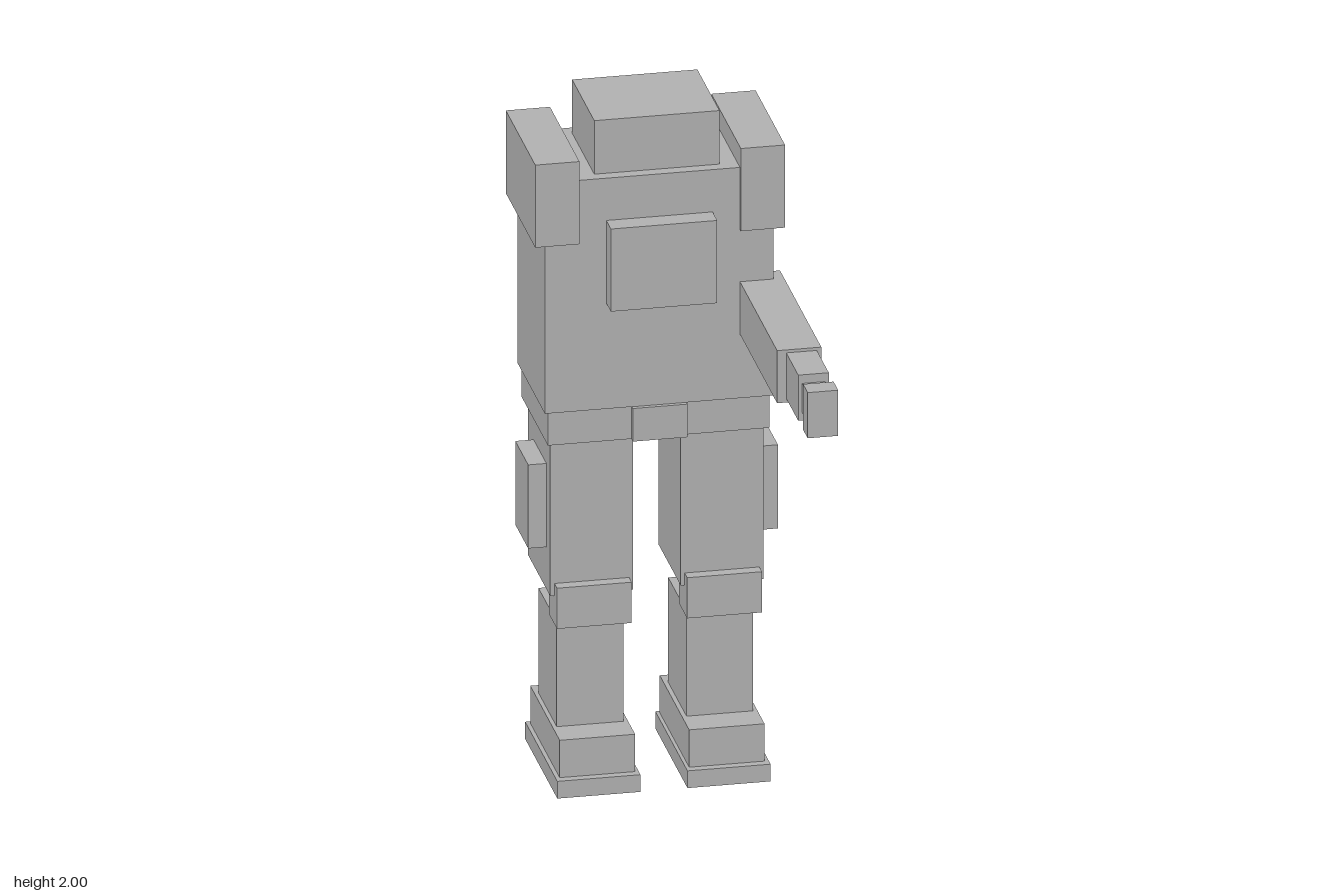
import * as THREE from 'three';

export function createModel() {
  const model = new THREE.Group();
  model.name = 'blockTrooper';
  const grey = new THREE.MeshStandardMaterial({ color: 0xb0b0b0 });
  grey.name = 'plainGrey';

  // Box given by its extents on each axis
  function block(name, [x0, x1], [y0, y1], [z0, z1], parent = model) {
    const mesh = new THREE.Mesh(new THREE.BoxGeometry(x1 - x0, y1 - y0, z1 - z0), grey);
    mesh.position.set((x0 + x1) / 2, (y0 + y1) / 2, (z0 + z1) / 2);
    mesh.name = name;
    parent.add(mesh);
  }

  // Body
  block('head', [-0.18, 0.177], [1.835, 2], [-0.543, -0.24]);
  block('torso', [-0.328, 0.324], [1.14, 1.838], [-0.582, -0.205]);
  block('chestPlate', [-0.153, 0.15], [1.46, 1.71], [-0.205, -0.142]);
  block('belt', [-0.318, 0.314], [1.04, 1.14], [-0.57, -0.212]);
  block('buckle', [-0.08, 0.076], [1.04, 1.14], [-0.212, -0.192]);

  // Paired parts, mirrored about the body's centre line
  const centre = -0.002;
  const paired = [
    ['shoulder', [0.23, 0.356], [1.65, 1.9], [-0.596, -0.193]],
    ['thigh', [0.068, 0.304], [0.573, 1.04], [-0.542, -0.238]],
    ['thighPouch', [0.304, 0.356], [0.7, 0.953], [-0.466, -0.29]],
    ['kneePad', [0.079, 0.292], [0.487, 0.61], [-0.313, -0.203]],
    ['shin', [0.09, 0.28], [0.165, 0.482], [-0.514, -0.264]],
    ['boot', [0.077, 0.292], [0.052, 0.165], [-0.568, -0.166]],
    ['sole', [0.067, 0.304], [0, 0.052], [-0.58, -0.141]],
  ];
  for (const [name, [a, b], y, z] of paired) {
    block(name + 'Left', [centre + a, centre + b], y, z);
    block(name + 'Right', [centre - b, centre - a], y, z);
  }

  // Outstretched left arm, stepping down towards its tip
  const arm = new THREE.Group();
  arm.name = 'leftArm';
  model.add(arm);
  block('upperArm', [0.228, 0.354], [1.333, 1.492], [-0.262, 0.303], arm);
  block('forearm', [0.254, 0.341], [1.345, 1.483], [0.303, 0.467], arm);
  block('wrist', [0.265, 0.33], [1.37, 1.457], [0.467, 0.533], arm);
  block('armTip', [0.254, 0.341], [1.345, 1.483], [0.533, 0.596], arm);

  return model;
}
